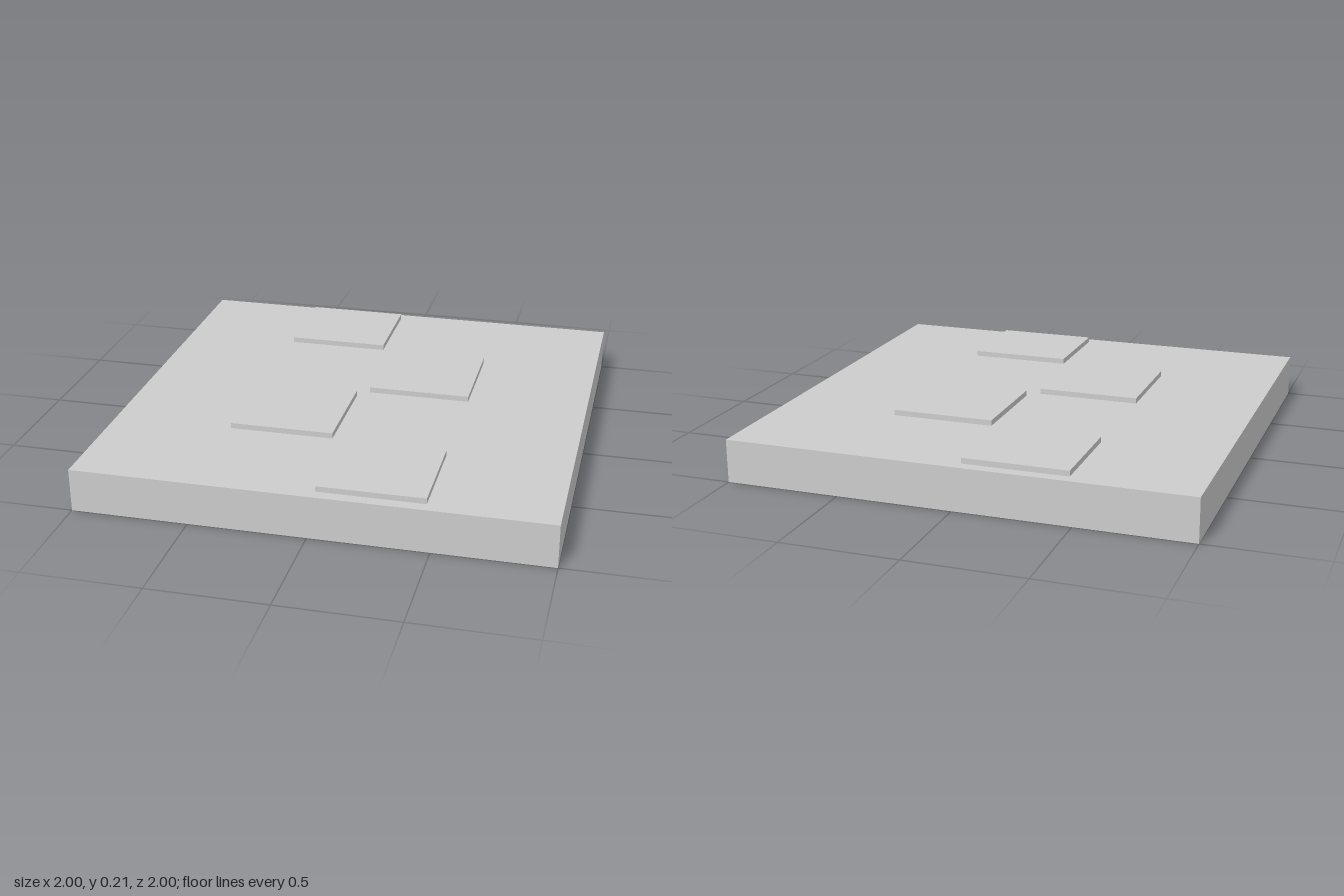
import * as THREE from 'three';

const BASE_HEIGHT = 0.187;
const TILE_HEIGHT = 0.024;

export function createModel() {
  const model = new THREE.Group();
  model.name = 'tiledSlab';
  const material = new THREE.MeshStandardMaterial({ color: 0xcccccc, flatShading: true });

  // Box given by its extents on each axis
  const addBox = (name, [x0, x1], [y0, y1], [z0, z1]) => {
    const mesh = new THREE.Mesh(new THREE.BoxGeometry(x1 - x0, y1 - y0, z1 - z0), material);
    mesh.position.set((x0 + x1) / 2, (y0 + y1) / 2, (z0 + z1) / 2);
    mesh.name = name;
    model.add(mesh);
  };

  // Square base slab
  addBox('baseSlab', [-1, 1], [0, BASE_HEIGHT], [-1, 1]);

  // Raised tiles, staggered in two columns; each pair is a half turn apart
  const tileY = [BASE_HEIGHT, BASE_HEIGHT + TILE_HEIGHT];
  for (const side of [-1, 1]) {
    const span = (a, b) => [Math.min(a * side, b * side), Math.max(a * side, b * side)];
    const column = side < 0 ? 'right' : 'left';
    addBox(`${column}OuterTile`, span(0.025, 0.475), tileY, span(0.525, 0.95));
    addBox(`${column}InnerTile`, span(0.025, 0.475), tileY, span(-0.475, -0.025));
  }

  return model;
}
